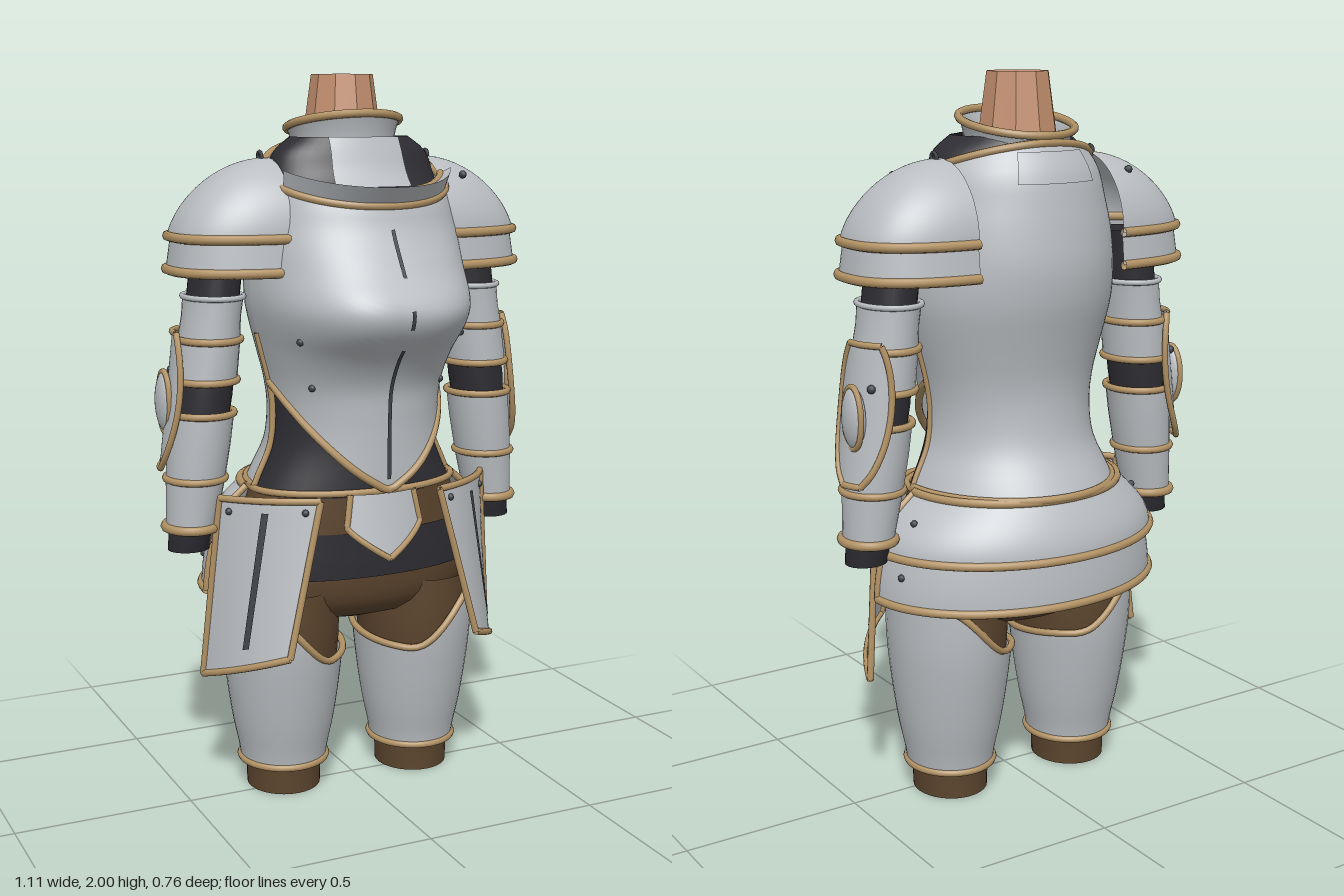
import * as THREE from 'three';

const mat = (name, color, extra = {}) => {
  const m = new THREE.MeshStandardMaterial({ color, side: THREE.DoubleSide, ...extra });
  m.name = name;
  return m;
};
const V = (x, y, z) => new THREE.Vector3(x, y, z);
const lerp = THREE.MathUtils.lerp;
const pw = (a, p) => Math.sign(a) * Math.abs(a) ** p;

export function createModel() {
  const steel = mat('steel', 0xbabec2), tan = mat('bronzeTrim', 0xb29264), dark = mat('darkCloth', 0x2e2d33);
  const brown = mat('brownLeather', 0x5c452e), slit = mat('darkSteel', 0x3f4348);
  const skin = mat('skin', 0xc4906f, { flatShading: true });
  const root = new THREE.Group();
  root.name = 'armouredTorso';

  const add = (parent, name, geo, m) => {
    const mesh = new THREE.Mesh(geo, m);
    mesh.name = name;
    parent.add(mesh);
    return mesh;
  };
  // Smooth surface from f(u, v); closed joins u = 1 back to u = 0
  const surf = (parent, name, f, m, nu = 32, nv = 12, closed = false) => {
    const pos = [], idx = [], w = closed ? nu : nu + 1;
    for (let j = 0; j <= nv; j++)
      for (let i = 0; i < w; i++) pos.push(...f(i / nu, j / nv).toArray());
    for (let j = 0; j < nv; j++)
      for (let i = 0; i < nu; i++) {
        const a = j * w + i, b = j * w + (i + 1) % w;
        idx.push(a, b, a + w, b, b + w, a + w);
      }
    const g = new THREE.BufferGeometry();
    g.setAttribute('position', new THREE.Float32BufferAttribute(pos, 3));
    g.setIndex(idx);
    g.computeVertexNormals();
    return add(parent, name, g, m);
  };
  const tube = (parent, name, pts, r, m = tan, closed = false) =>
    add(parent, name, new THREE.TubeGeometry(new THREE.CatmullRomCurve3(pts, closed), pts.length * 2, r, 8, closed), m);
  const line = (f, n = 24) => Array.from({ length: n + 1 }, (_, i) => f(i / n));
  const loop = (f, n = 32) => Array.from({ length: n }, (_, i) => f(i / n));
  const rim = (parent, name, f, v, r = 0.011) => tube(parent, name, line(u => f(u, v)), r);
  const sideRims = (parent, name, f, r = 0.01) => [0, 1].forEach(u => tube(parent, name, line(v => f(u, v), 12), r));
  const rivet = (parent, p, r = 0.01) =>
    add(parent, 'rivet', new THREE.SphereGeometry(r, 10, 8), slit).position.copy(p);

  // Cross-section tables: [y, half width, front depth, back depth]
  const section = tab => {
    const c = new THREE.CubicInterpolant(tab.map(t => t[0]), tab.flatMap(t => t.slice(1)), 3, new Float32Array(3));
    return y => [...c.evaluate(y)];
  };
  const around = (sec, off = 0) => (th, y) => {
    const [W, F, B] = sec(y), c = Math.cos(th);
    return V((W + off) * Math.sin(th), y, ((c > 0 ? F : B) + off) * c);
  };
  const loft = (name, sec, y0, y1, m, off = 0, nv = 14) => {
    const f = around(sec, off);
    return surf(root, name, (u, v) => f(u * Math.PI * 2, lerp(y0, y1, v)), m, 40, nv, true);
  };

  // Cloth and leather under the plates
  const hipSec = section([[0.485, 0.05, 0.03, 0.05], [0.51, 0.22, 0.1, 0.18], [0.55, 0.32, 0.145, 0.25],
    [0.62, 0.355, 0.165, 0.27], [0.75, 0.34, 0.17, 0.26], [0.89, 0.29, 0.175, 0.25]]);
  const waistSec = section([[0.87, 0.295, 0.175, 0.25], [1, 0.24, 0.17, 0.2], [1.1, 0.228, 0.175, 0.19], [1.25, 0.23, 0.18, 0.2]]);
  const yokeSec = section([[1.66, 0.262, 0.23, 0.2], [1.7, 0.25, 0.15, 0.2], [1.74, 0.24, 0.115, 0.2],
    [1.8, 0.213, 0.09, 0.198], [1.835, 0.165, 0.076, 0.192]]);
  loft('hips', hipSec, 0.485, 0.89, brown);
  loft('hipBand', hipSec, 0.64, 0.77, dark, 0.004, 4);
  loft('waistCloth', waistSec, 0.87, 1.25, dark);
  loft('neckCloth', yokeSec, 1.66, 1.835, dark);
  const hip = around(hipSec, 0.008);
  tube(root, 'beltTrim', loop(u => hip(u * Math.PI * 2, 0.885)), 0.01, tan, true);

  // Breastplate and backplate; the front gets squarer where it juts out
  const bodySec = section([[0.86, 0.31, 0.23, 0.33], [0.92, 0.285, 0.235, 0.3], [1, 0.25, 0.235, 0.255], [1.1, 0.24, 0.237, 0.235],
    [1.18, 0.25, 0.246, 0.235], [1.26, 0.27, 0.29, 0.25], [1.34, 0.29, 0.362, 0.27], [1.395, 0.3, 0.377, 0.284],
    [1.5, 0.3, 0.31, 0.295], [1.6, 0.29, 0.25, 0.285], [1.66, 0.275, 0.23, 0.275], [1.75, 0.25, 0.18, 0.255], [1.82, 0.2, 0.13, 0.215]]);
  const back0 = around(bodySec);
  const body = (th, y) => {
    const [W, F] = bodySec(y), c = Math.cos(th), jut = Math.max(F - 0.2, 0), p = 1 - 2.3 * jut;
    return V(W * pw(Math.sin(th), p) * (1 - 1.6 * c * jut), y, F * pw(c, p));
  };
  const breast = (u, v) => {
    const t = Math.abs(2 * u - 1);
    return body((u - 0.5) * Math.PI, lerp(0.9 + 0.28 * t ** 1.05, 1.66 + 0.08 * t * t, v));
  };
  const back = (u, v) => {
    const t = 2 * u - 1;
    return back0((u + 0.5) * Math.PI, lerp(0.89, 1.82 - 0.08 * t * t, v));
  };
  surf(root, 'breastplate', breast, steel, 56, 44);
  surf(root, 'backplate', back, steel, 40, 32);
  for (const v of [0, 1]) {
    rim(root, 'breastplateTrim', breast, v);
    rim(root, 'backplateTrim', back, v);
  }
  sideRims(root, 'backplateSideTrim', (u, v) => back(u, v * 0.5), 0.009);
  const lip = (u, v) => {
    const p = breast(0.14 + 0.72 * u, 1);
    return V(p.x * (0.95 + 0.08 * v), p.y + 0.035 + 0.015 * v, p.z * (0.92 + 0.25 * v));
  };
  surf(root, 'breastplateLip', lip, steel, 32, 3);
  surf(root, 'breastplateLipUnderside', (u, v) => breast(0.14 + 0.72 * u, 1).lerp(lip(u, 1), v), steel, 32, 3);
  rim(root, 'lipTrim', lip, 0, 0.01);
  const nape = around(bodySec, 0.009);
  surf(root, 'napePlate', (u, v) => nape(Math.PI + (u - 0.5) * 0.9, lerp(1.72, 1.8, v)), steel, 12, 4);
  for (const [y0, y1] of [[1.48, 1.6], [1.35, 1.4], [0.93, 1.29]])
    surf(root, 'breastplateSlit', (u, v) => {
      const y = lerp(y0, y1, v);
      return V((u - 0.5) * 0.011, y, bodySec(y)[1] + 0.004);
    }, slit, 1, 14);
  for (const s of [-1, 1]) {
    rivet(root, body(s * 1.12, 1.31));
    rivet(root, body(s * 0.9, 1.18));
  }

  // Neck and collar, tilted down to the back
  add(root, 'neck', new THREE.CylinderGeometry(0.085, 0.12, 0.25, 10), skin).position.set(0, 1.875, -0.065);
  const collar = (u, v) => {
    const a = u * Math.PI * 2, r = 0.145 - 0.03 * v + 0.04 * v * v, z = r * Math.cos(a);
    return V(r * Math.sin(a), lerp(1.75, 1.868, v) + 0.19 * z * v, z - 0.06);
  };
  surf(root, 'collar', collar, steel, 40, 8, true);
  tube(root, 'collarTrim', loop(u => collar(u, 1)), 0.011, tan, true);
  const throat = around(yokeSec, 0.014);
  surf(root, 'throatPlate', (u, v) => {
    const y = lerp(1.705, 1.835, v);
    return throat(Math.asin((2 * u - 1) * lerp(0.105, 0.095, v) / yokeSec(y)[0]), y);
  }, steel, 16, 6);

  // Rear skirt in two tiers
  const tier = (y0, y1, W0, W1, B0, B1) => (u, v) => {
    const a = (u + 0.5) * Math.PI, k = Math.sin(v * Math.PI / 2);
    return V(lerp(W0, W1, k) * Math.sin(a), lerp(y0, y1, v), -0.03 + lerp(B0, B1, k) * Math.cos(a));
  };
  const tiers = [tier(0.885, 0.735, 0.31, 0.425, 0.28, 0.338), tier(0.735, 0.6, 0.41, 0.43, 0.315, 0.325)];
  tiers.forEach((f, i) => {
    surf(root, 'rearSkirtTier', f, steel, 40, 8);
    rim(root, 'rearSkirtTrim', f, 1, 0.012);
    if (!i) rim(root, 'rearSkirtTopTrim', f, 0, 0.012);
    sideRims(root, 'rearSkirtSideTrim', f);
    for (const u of [0.09, 0.91]) rivet(root, f(u, 0.4));
  });

  // Centre front plate
  const shield = (u, v) => {
    const w = v < 0.5 ? 0.095 + 0.03 * v : 0.11 * (1 - ((v - 0.5) * 2) ** 1.3), x = (2 * u - 1) * w;
    return V(x, 0.885 - 0.175 * v, 0.212 + 0.035 * v - 2 * x * x);
  };
  surf(root, 'centrePlate', shield, steel, 10, 14);
  sideRims(root, 'centrePlateTrim', shield, 0.009);

  // One side of the paired parts, on the model's left
  const side = new THREE.Group();
  side.name = 'leftSide';

  // Shoulder dome and the lame below it
  const dome = (u, v) => {
    const a = (u - 0.5) * Math.PI, r = Math.sin(v * Math.PI / 2);
    return V(0.228 + 0.274 * pw(Math.cos(a), 0.85) * r, 1.575 + 0.205 * Math.cos(v * Math.PI / 2) ** (1 + 0.4 * Math.cos(a)),
      -0.05 + 0.188 * pw(Math.sin(a), 0.78) * r);
  };
  const lame = (u, v) => {
    const p = dome(u, 1), k = 0.97 + 0.05 * v;
    return V(0.235 + (p.x - 0.235) * k, 1.575 - 0.088 * v, -0.05 + (p.z + 0.05) * k);
  };
  surf(side, 'shoulderDome', dome, steel, 36, 16);
  surf(side, 'shoulderLame', lame, steel, 36, 3);
  rim(side, 'shoulderDomeTrim', dome, 1, 0.013);
  rim(side, 'shoulderLameTrim', lame, 1, 0.013);
  const buckle = add(side, 'shoulderBuckle', new THREE.TorusGeometry(0.014, 0.005, 6, 12), slit);
  buckle.position.set(0.25, 1.782, -0.05);
  buckle.rotation.y = Math.PI / 2;

  // Arm rings along a slightly slanted axis; tables are [y, x radius, z radius]
  const ring = (u, y, rx, rz) => {
    const a = u * Math.PI * 2;
    return V(0.38 + 0.12 * (1.5 - y) + rx * Math.cos(a), y, -0.05 + rz * Math.sin(a));
  };
  const limb = (name, tab, m) => surf(side, name, (u, v) => ring(u, ...tab[Math.round(v * (tab.length - 1))]), m, 28, tab.length - 1, true);
  const band = (y, rx, rz, m = tan, r = 0.01) => tube(side, 'armBand', loop(u => ring(u, y, rx, rz), 24), r, m, true);
  limb('armCloth', [[1.56, 0.07, 0.085], [1.4, 0.07, 0.085], [1.15, 0.078, 0.085], [0.9, 0.065, 0.07], [0.72, 0.058, 0.052], [0.718, 0.001, 0.001]], dark);
  limb('upperArmPlate', [[1.42, 0.08, 0.1], [1.36, 0.078, 0.098], [1.3, 0.083, 0.1], [1.19, 0.086, 0.1]], steel);
  limb('forearmPlate', [[1.1, 0.087, 0.097], [1.02, 0.086, 0.095], [0.92, 0.081, 0.087], [0.79, 0.068, 0.077]], steel);
  band(1.415, 0.08, 0.1, steel, 0.008);
  band(1.3, 0.084, 0.101);
  band(1.19, 0.086, 0.1);
  band(1.1, 0.087, 0.097);
  band(0.92, 0.081, 0.087);
  band(0.785, 0.069, 0.078, tan, 0.013);

  // Elbow guard, turned slightly to the back, with a raised boss
  const guard = (u, v) => {
    const a = (2 * u - 1) * 0.9 * Math.sqrt(Math.sin(Math.PI * lerp(0.1, 0.97, v))) - 0.4;
    return ring(a / (Math.PI * 2), lerp(1.32, 0.95, v), 0.099, 0.112);
  };
  surf(side, 'elbowGuard', guard, steel, 16, 18);
  sideRims(side, 'elbowGuardTrim', guard, 0.009);
  for (const v of [0, 1]) rim(side, 'elbowGuardEndTrim', guard, v, 0.009);
  const boss = add(side, 'elbowBoss', new THREE.SphereGeometry(1, 20, 14), steel);
  boss.scale.set(0.026, 0.083, 0.048);
  boss.position.set(0.52, 1.13, -0.085);
  tube(side, 'elbowBossTrim', loop(u => V(0.523, 1.13 + 0.083 * Math.cos(u * Math.PI * 2), -0.085 + 0.047 * Math.sin(u * Math.PI * 2)), 20), 0.008, tan, true);
  rivet(side, guard(0.3, 0.3), 0.012);

  // Hanging hip plate
  const [it, ot, ib, ob] = [V(0.18, 0.875, 0.19), V(0.405, 0.87, 0.015), V(0.285, 0.455, 0.22), V(0.45, 0.365, -0.015)];
  const hang = off => (u, v) => {
    const p = it.clone().lerp(ot, u).lerp(ib.clone().lerp(ob, u), v), d = off + 0.1 * u * (1 - u);
    return p.add(V(0.63 * d, 0.05 * d, 0.77 * d));
  };
  const plate = hang(0);
  surf(side, 'hipPlate', plate, steel, 12, 10);
  sideRims(side, 'hipPlateTrim', plate);
  for (const v of [0, 1]) rim(side, 'hipPlateEndTrim', plate, v, 0.01);
  surf(side, 'hipPlateSlit', (u, v) => hang(0.005)(0.465 + 0.07 * u, lerp(0.07, 0.88, v)), slit, 2, 8);
  for (const u of [0.12, 0.88]) rivet(side, plate(u, 0.07));

  // Leg and thigh plate with a curved top edge
  const legSec = section([[0, 0.118, 0.125, 0.125], [0.09, 0.122, 0.128, 0.128], [0.2, 0.143, 0.152, 0.152],
    [0.3, 0.157, 0.172, 0.172], [0.45, 0.17, 0.195, 0.195], [0.62, 0.172, 0.2, 0.2]]);
  const leg = off => {
    const f = around(legSec, off);
    return (a, y) => f(a, y).add(V(0.205, 0, -0.03));
  };
  const thigh = (u, v) => {
    const a = u * Math.PI * 2, o = Math.sin(a);
    const top = 0.4 + 0.16 * THREE.MathUtils.smoothstep(o, -0.5, 0.75) + 0.022 * (1 - Math.cos(a));
    return leg(0)(a, lerp(0.085, top, v));
  };
  surf(side, 'legCloth', (u, v) => leg(-0.014)(u * Math.PI * 2, v * 0.6), brown, 32, 12, true);
  surf(side, 'thighPlate', thigh, steel, 40, 14, true);
  for (const v of [0, 1]) tube(side, 'thighTrim', loop(u => thigh(u, v), 36), 0.01, tan, true);

  // Mirror to the other side; each shoulder keeps its own rivet
  const right = side.clone();
  right.name = 'rightSide';
  right.scale.x = -1;
  root.add(side, right);
  rivet(side, V(0.3, 1.73, 0.08), 0.011);
  rivet(right, V(0.3, 1.735, -0.16), 0.011);
  return root;
}
